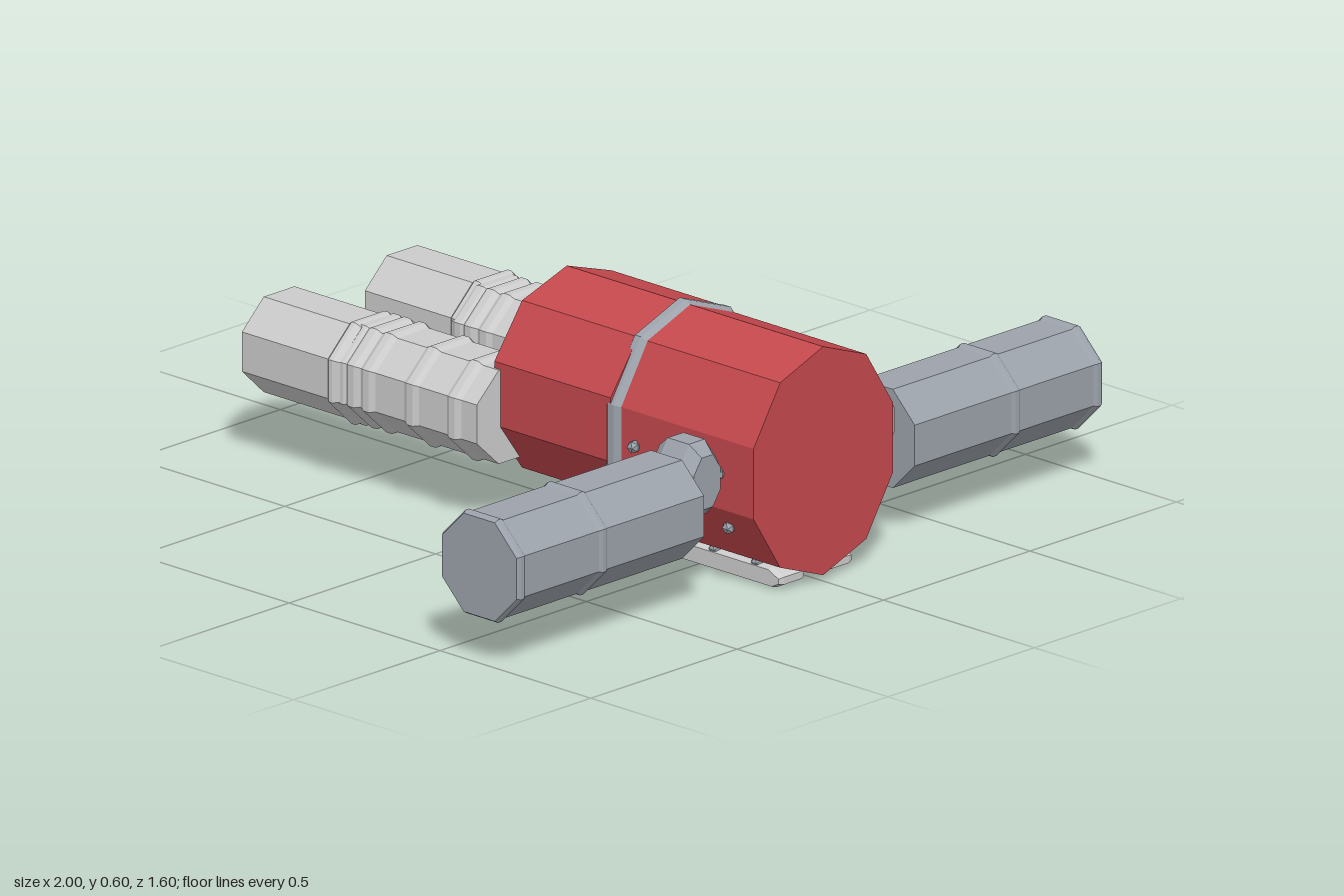
import * as THREE from 'three';

const mat = (color) => new THREE.MeshStandardMaterial({ color, flatShading: true });

// Faceted solid of revolution; profile is [radius, height] from bottom to top, closed with end caps.
function prism(profile, sides, flatTop) {
  const points = [[0, profile[0][1]], ...profile, [0, profile[profile.length - 1][1]]]
    .map(([r, y]) => new THREE.Vector2(r, y));
  return new THREE.LatheGeometry(points, sides, flatTop ? Math.PI / sides : 0);
}

function addMesh(parent, name, geometry, material, x = 0, y = 0, z = 0) {
  const mesh = new THREE.Mesh(geometry, material);
  mesh.name = name;
  mesh.position.set(x, y, z);
  parent.add(mesh);
  return mesh;
}

// Straight tube profile from a to b with raised, bevelled rings.
function ringedProfile(a, b, r, rise, rings, half) {
  const profile = [[r, a]];
  for (const c of rings) {
    profile.push([r, c - half], [r + rise, c - half * 0.4], [r + rise, c + half * 0.4], [r, c + half]);
  }
  profile.push([r, b]);
  return profile;
}

export function createModel() {
  const model = new THREE.Group();
  const red = mat(0xc4484d);
  const grey = mat(0xcccccc);
  const steel = mat(0x9ca2ab);
  const octagon = 1 / Math.cos(Math.PI / 8); // corner radius for a flat distance of 1

  // Ten-sided body in two sections along z
  const front = prism([[1, 0.335], [1, 0.8]], 10).rotateX(Math.PI / 2).scale(0.25, 0.2875, 1);
  addMesh(model, 'frontBody', front, red, 0, 0.3075, 0);
  const rear = prism([[0.26, -0.05], [0.26, 0.335]], 10).rotateX(Math.PI / 2);
  addMesh(model, 'rearBody', rear, red, 0, 0.335, 0);

  // Band round the joint between the sections
  const band = prism([[0.97, 0.305], [1.035, 0.325], [1.035, 0.345], [0.98, 0.367]], 10)
    .rotateX(Math.PI / 2).scale(0.252, 0.2875, 1);
  addMesh(model, 'waistBand', band, steel, 0, 0.3075, 0);

  // Bevelled runner outline, drawn in the y-z plane
  const runner = new THREE.Shape([
    [0.4, 0.02], [0.42, 0.008], [0.75, 0.008], [0.775, 0.02], [0.775, 0.035], [0.74, 0.052], [0.4, 0.052],
  ].map(([z, y]) => new THREE.Vector2(-z, y)));

  for (const side of [1, -1]) {
    const label = side > 0 ? 'left' : 'right';

    // Arm with a slight ring at mid-length and at the tip
    const arm = prism(ringedProfile(0.36, 1, 0.124 * octagon, 0.006, [0.705, 0.985], 0.014), 8, true)
      .rotateZ(-Math.PI / 2);
    if (side < 0) arm.rotateY(Math.PI);
    addMesh(model, label + 'Arm', arm, steel, 0, 0.246, 0.63);

    // Bevelled shoulder joint
    const shoulder = prism([[0.7, -0.07], [1, -0.035], [1, 0.035], [0.7, 0.07]], 8, true)
      .rotateX(Math.PI / 2).scale(0.065 * octagon, 0.094 * octagon, 1);
    addMesh(model, label + 'Shoulder', shoulder, steel, side * 0.298, 0.304, 0.635);

    // Ribbed upper leg and plain lower leg
    const upper = prism(ringedProfile(-0.5, -0.03, octagon, 0.07,
      [-0.475, -0.44, -0.39, -0.245, -0.105], 0.024), 8, true)
      .rotateX(Math.PI / 2).scale(0.128, 0.118, 1);
    addMesh(model, label + 'UpperLeg', upper, grey, side * 0.2, 0.281, 0);
    const lower = prism([[octagon, -0.8], [octagon, -0.515], [1.07 * octagon, -0.505],
      [1.07 * octagon, -0.492], [octagon, -0.475]], 8, true)
      .rotateX(Math.PI / 2).scale(0.127, 0.12, 1);
    addMesh(model, label + 'LowerLeg', lower, grey, side * 0.21, 0.282, 0);

    // Runner under the body
    const runnerGeo = new THREE.ExtrudeGeometry(runner, {
      depth: 0.06, bevelEnabled: true, bevelSegments: 1, bevelThickness: 0.014, bevelSize: 0.005, bevelOffset: -0.002,
    }).translate(0, 0, -0.03).rotateY(Math.PI / 2);
    addMesh(model, label + 'Runner', runnerGeo, grey, side * 0.081, 0, 0);

    // Rows of rivets on the body side
    for (const [x, y] of [[0.246, 0.31], [0.209, 0.165], [0.11, 0.055]]) {
      for (const z of [0.41, 0.55, 0.69]) {
        addMesh(model, label + 'Rivet', new THREE.IcosahedronGeometry(0.017, 0), steel, side * x, y, z);
      }
    }
  }
  return model;
}
